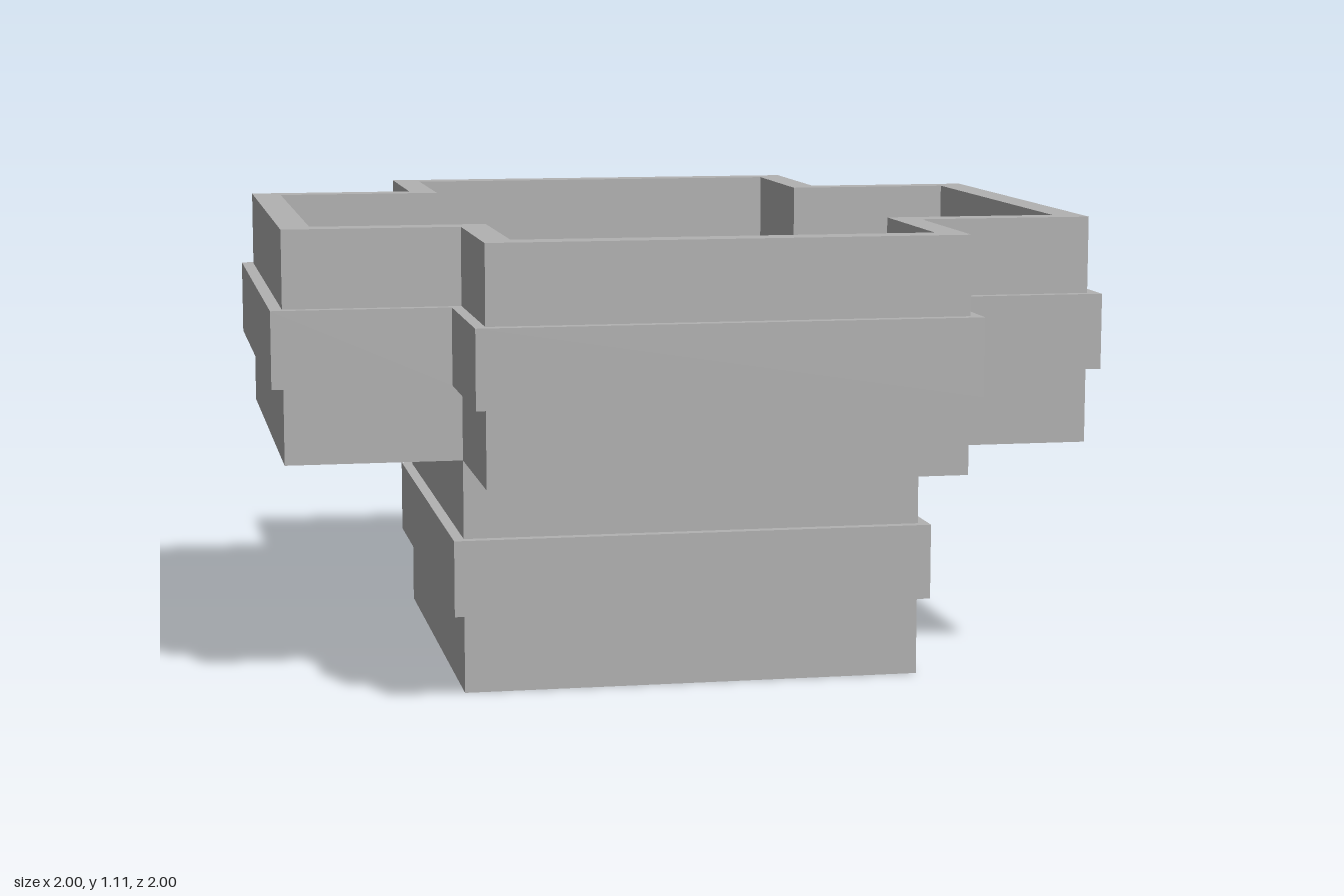
import * as THREE from 'three';

// Square outline with half-width h
const square = (h) => [[-h, -h], [h, -h], [h, h], [-h, h]];

// Plus-shaped outline: arm half-width w, arm reach r
const cross = (w, r) => [
  [-w, -r], [w, -r], [w, -w], [r, -w], [r, w], [w, w],
  [w, r], [-w, r], [-w, w], [-r, w], [-r, -w], [-w, -w],
];

const toPoints = (outline) => outline.map(([x, y]) => new THREE.Vector2(x, y));

export function createModel() {
  const model = new THREE.Group();
  model.name = 'steppedPlanter';
  const stone = new THREE.MeshStandardMaterial({ color: 0xb2b2b2 });
  stone.name = 'grey stone';

  // Horizontal layer from y0 to y1, optionally hollow
  function layer(name, outline, hole, y0, y1) {
    const shape = new THREE.Shape(toPoints(outline));
    if (hole) shape.holes.push(new THREE.Path(toPoints(hole)));
    const geometry = new THREE.ExtrudeGeometry(shape, { depth: y1 - y0, bevelEnabled: false });
    geometry.rotateX(-Math.PI / 2);
    geometry.translate(0, y0, 0);
    const mesh = new THREE.Mesh(geometry, stone);
    mesh.name = name;
    model.add(mesh);
  }

  const pit = square(0.467);
  const basin = cross(0.487, 0.9);

  // Square foot with a projecting middle band
  layer('footFloor', square(0.554), null, 0, 0.03);
  layer('footBase', square(0.554), pit, 0.03, 0.19);
  layer('footBand', square(0.58), pit, 0.19, 0.372);
  layer('footNeck', square(0.554), pit, 0.372, 0.56);

  // Cross-shaped basin with a projecting middle band
  layer('basinFloor', cross(0.554, 0.971), pit, 0.56, 0.585);
  layer('basinLower', cross(0.554, 0.971), basin, 0.585, 0.742);
  layer('basinBand', cross(0.58, 1), basin, 0.742, 0.925);
  layer('basinRim', cross(0.554, 0.971), basin, 0.925, 1.11);

  return model;
}
